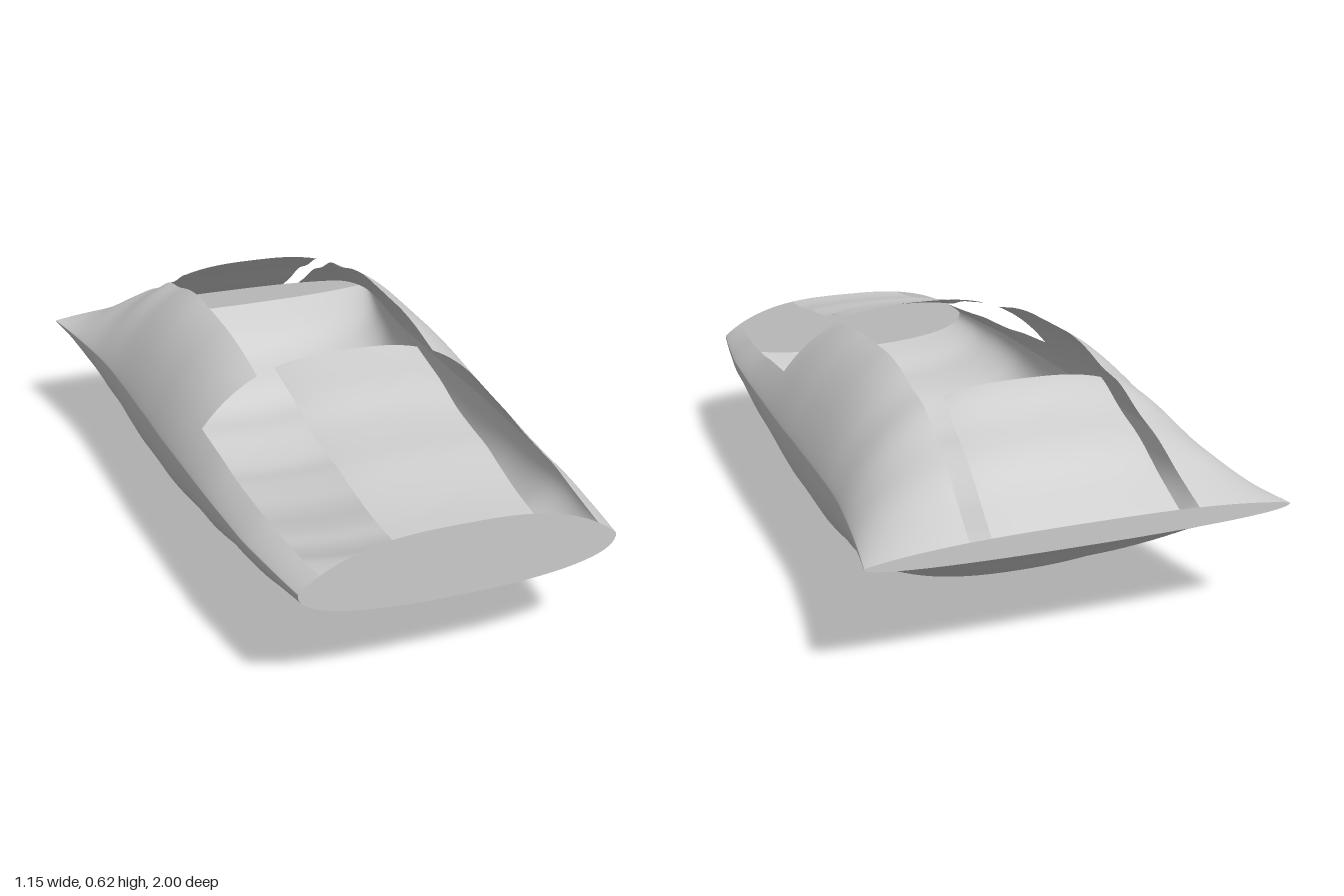
import * as THREE from 'three';
import { mergeVertices } from 'three/addons/utils/BufferGeometryUtils.js';

// Hull stations, every 0.1 from the front (z = 1) to the back (z = -1)
const TOP = [.44, .45, .47, .495, .51, .53, .567, .592, .618, .645, .662, .669, .674, .677, .662, .632, .613, .555, .507, .435, .37];
const BOTTOM = [.24, .22, .19, .18, .163, .125, .095, .082, .06, .035, .018, .013, .009, .002, .02, .05, .07, .13, .18, .25, .31];
const WIDTH = [.435, .45, .463, .475, .48, .485, .489, .492, .495, .498, .5, .5, .502, .503, .505, .508, .515, .527, .541, .557, .575];

// Cut lines: z of the panel ends, and fractions of the half width
const Z_FRONT = 0.23, Z_BACK = -0.59;
const PANEL = 0.44, HATCH = 0.54, SIDE = 0.873;

// Smooth interpolation between stations
function at(values, z) {
  const f = (1 - z) * 10, i = Math.min(19, Math.max(0, Math.floor(f))), t = f - i;
  const a = values[i], b = values[i + 1];
  const ma = (b - (values[i - 1] ?? 2 * a - b)) / 2;
  const mb = ((values[i + 2] ?? 2 * b - a) - a) / 2;
  return a + t * (ma + t * (3 * (b - a) - 2 * ma - mb + t * (2 * (a - b) + ma + mb)));
}

// Evenly spaced values through a list of [start, steps] breaks
function spaced(breaks, end) {
  const out = [];
  breaks.forEach(([start, n], k) => {
    const stop = k + 1 < breaks.length ? breaks[k + 1][0] : end;
    for (let i = 0; i < n; i++) out.push(start + (stop - start) * i / n);
  });
  return [...out, end];
}

// Unit cross-section ring: top centre, +x side, bottom, -x side
function makeRing() {
  const asin = Math.asin;
  const upper = spaced([[0, 8], [asin(PANEL), 3], [asin(HATCH), 10], [asin(SIDE), 8]], Math.PI / 2)
    .map((a) => [Math.sin(a), Math.max(0, 1 - Math.sin(a) ** 2.94) ** 0.9]);
  const lower = [];
  for (let i = 1; i <= 24; i++) {
    const a = Math.PI / 2 * (1 - i / 24);
    lower.push([Math.sin(a) ** (2 / 2.4), -(Math.cos(a) ** (2 / 2.4))]);
  }
  const half = [...upper, ...lower];
  return [...half, ...half.slice(1, -1).reverse().map(([u, v]) => [-u, v])];
}

function place([u, v], z) {
  const mid = 0.335 - 0.005 * z;
  const y = mid + v * (v > 0 ? at(TOP, z) - mid : mid - at(BOTTOM, z));
  return [u * at(WIDTH, z), y, z];
}

export function createModel() {
  const group = new THREE.Group();
  const material = new THREE.MeshStandardMaterial({ color: 0xcccccc, side: THREE.DoubleSide });
  const ring = makeRing(), n = ring.length;
  const rows = spaced([[1, 26], [Z_FRONT, 28], [Z_BACK, 18]], -1);

  // Complete closed surface, sorted into shell, panels and openings
  const positions = [], all = [];
  const parts = { bodyShell: [], frontPanel: [], rearPanel: [] };
  rows.forEach((z) => ring.forEach((p) => positions.push(...place(p, z))));
  for (let i = 0; i + 1 < rows.length; i++) {
    const z = (rows[i] + rows[i + 1]) / 2;
    for (let j = 0; j < n; j++) {
      const k = (j + 1) % n;
      const a = i * n + j, b = i * n + k, c = a + n, d = b + n;
      const quad = [a, b, c, b, d, c];
      all.push(...quad);
      const u = Math.abs(ring[j][0] + ring[k][0]) / 2;
      const isTop = ring[j][1] + ring[k][1] > 0;
      if (!isTop || u > (z > Z_FRONT ? SIDE : HATCH)) parts.bodyShell.push(...quad);
      else if (u < PANEL && z > Z_FRONT) parts.frontPanel.push(...quad);
      else if (u < PANEL && z < Z_BACK) parts.rearPanel.push(...quad);
    }
  }
  const full = new THREE.BufferGeometry();
  full.setAttribute('position', new THREE.Float32BufferAttribute(positions, 3));
  full.setIndex(all);
  full.computeVertexNormals();

  // Every part keeps the normals of the complete surface
  for (const [name, index] of Object.entries(parts)) {
    full.setIndex(index);
    const mesh = new THREE.Mesh(mergeVertices(full.toNonIndexed()), material);
    mesh.name = name;
    group.add(mesh);
  }

  // Flat end walls
  for (const [name, z] of [['frontWall', 1], ['rearWall', -1]]) {
    const outline = ring.map((p) => new THREE.Vector2(...place(p, z).slice(0, 2)));
    const wall = new THREE.Mesh(new THREE.ShapeGeometry(new THREE.Shape(outline)), material);
    if (z < 0) wall.rotation.y = Math.PI;
    wall.position.z = z;
    wall.name = name;
    group.add(wall);
  }
  return group;
}
